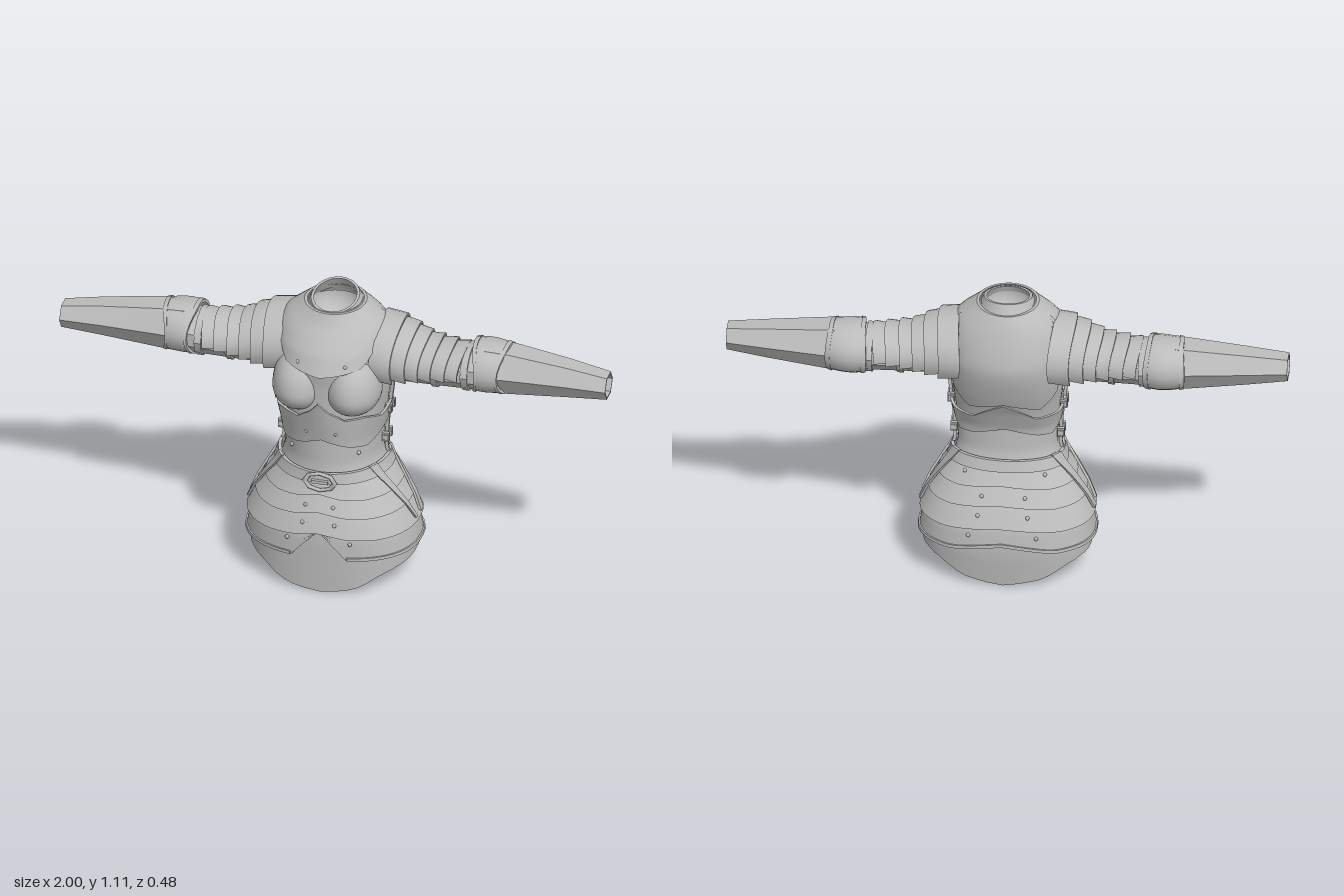
import * as THREE from 'three';
import { toCreasedNormals } from 'three/addons/utils/BufferGeometryUtils.js';

const PI = Math.PI;
const steel = new THREE.MeshStandardMaterial({ color: 0xbcbcbc, side: THREE.DoubleSide });
steel.name = 'steel grey';

// Piecewise linear lookup: rows are [key, ...values] with rising keys.
function look(rows, k) {
  let i = 0;
  while (i < rows.length - 2 && k > rows[i + 1][0]) i++;
  const a = rows[i], b = rows[i + 1];
  const f = Math.min(1, Math.max(0, (k - a[0]) / (b[0] - a[0])));
  return a.slice(1).map((v, j) => v + (b[j + 1] - v) * f);
}
const edge = (rows) => (t) => look(rows, t)[0];
const pw = (v, e) => Math.sign(v) * Math.abs(v) ** e;

// Torso sections: y, half width, front z, back z, roundness.
const TORSO = [
  [0, .305, .215, -.207, .85], [.145, .306, .221, -.224, .85], [.235, .294, .224, -.216, .85],
  [.31, .264, .211, -.189, .87], [.4, .216, .187, -.148, .9], [.45, .19, .182, -.13, .95],
  [.5, .177, .176, -.115, 1], [.6, .18, .178, -.112, 1], [.68, .19, .18, -.132, .95],
  [.75, .198, .18, -.16, .92], [.82, .202, .182, -.182, .92], [.88, .202, .19, -.193, .92],
  [.95, .198, .163, -.177, .95], [1, .185, .128, -.16, 1], [1.03, .16, .103, -.148, 1],
  [1.055, .125, .09, -.137, 1], [1.08, .09, .08, -.12, 1],
];
// Point on the torso at angle t (0 front, rising towards +x), height y, raised by d.
function torso(t, y, d) {
  const [rx, zf, zb, e] = look(TORSO, y), c = Math.cos(t), m = -.02;
  return [pw(Math.sin(t), e) * (rx + d), y, m + pw(c, e) * ((c > 0 ? zf - m : m - zb) + d)];
}

// Solid sheet: f(u, v, d) gives the surface raised by d, th is its thickness.
function slab(parent, name, nu, nv, f, th, { closed = false, flat = false } = {}) {
  const pos = [], idx = [], n = (nu + 1) * (nv + 1), at = (i, j) => j * (nu + 1) + i;
  for (const d of [th, 0])
    for (let j = 0; j <= nv; j++) for (let i = 0; i <= nu; i++) pos.push(...f(i / nu, j / nv, d));
  const quad = (a, b, c, d) => idx.push(a, b, c, a, c, d);
  for (let j = 0; j < nv; j++) for (let i = 0; i < nu; i++) {
    const q = [at(i, j), at(i + 1, j), at(i + 1, j + 1), at(i, j + 1)];
    quad(...q);
    quad(...q.map((k) => k + n).reverse());
  }
  const wall = (a, b) => quad(a, a + n, b + n, b);
  for (let i = 0; i < nu; i++) { wall(at(i, 0), at(i + 1, 0)); wall(at(i + 1, nv), at(i, nv)); }
  if (!closed) for (let j = 0; j < nv; j++) { wall(at(nu, j), at(nu, j + 1)); wall(at(0, j + 1), at(0, j)); }
  let g = new THREE.BufferGeometry();
  g.setAttribute('position', new THREE.Float32BufferAttribute(pos, 3));
  g.setIndex(idx);
  g = toCreasedNormals(g, flat ? .1 : .6);
  return add(parent, name, g);
}
function add(parent, name, geo, x = 0, y = 0, z = 0) {
  const m = new THREE.Mesh(geo, steel);
  m.name = name;
  m.position.set(x, y, z);
  parent.add(m);
  return m;
}

// Plate wrapped around the torso; lo and hi give its edges at angle |t|, raise its height.
function plate(parent, name, lo, hi, raise, th = .01, nv = 6) {
  return slab(parent, name, 48, nv, (u, v, d) => {
    const t = (u * 2 - 1) * PI, a = Math.abs(t), y = lo(a) + (hi(a) - lo(a)) * v;
    return torso(t, y, d + raise(a, v));
  }, th, { closed: true });
}

// Arm sections: x, centre y, centre z, half height, half depth.
const SLEEVE = [[.17, .89, -.03, .095, .115], [.36, .856, -.033, .067, .085], [.56, .864, -.04, .076, .088]];
const FOREARM = [[.55, .87, -.043, .082, .096], [.64, .869, -.043, .077, .086], [.85, .867, -.033, .056, .065], [1, .864, -.022, .039, .049]];
const SHOULDER = [[.17, .895, -.035, .122, .146], [.25, .885, -.033, .106, .124], [.34, .867, -.033, .078, .1], [.47, .858, -.035, .064, .088]];
function limb(rows, a, x, d) {
  const [y, z, ry, rz] = look(rows, x);
  return [x, y + Math.cos(a) * (ry + d), z + Math.sin(a) * (rz + d)];
}

function makeArm() {
  const arm = new THREE.Group();
  slab(arm, 'sleeve', 10, 6, (u, v, d) => limb(SLEEVE, u * 2 * PI, .17 + .39 * v, d), .006, { closed: true });
  slab(arm, 'forearmGuard', 6, 3, (u, v, d) => {
    const x = [.55, .64, .85, 1][Math.round(v * 3)], p = limb(FOREARM, PI / 2 + u * 2 * PI, x, d);
    const cy = look(FOREARM, x)[0];
    return [x, cy + (p[1] - cy) * 1.1, p[2]];
  }, .006, { closed: true, flat: true });
  // Overlapping shoulder plates
  const cuts = [.17, .235, .285, .33, .375, .425, .47];
  for (let i = 0; i < 6; i++) {
    const reach = 2.1 - i * .09;
    slab(arm, 'shoulderLame', 20, 2, (u, v, d) => {
      const a = (u * 2 - 1) * reach, x = cuts[i] + (cuts[i + 1] - cuts[i] + .012) * v - .015 * Math.sin(a) ** 2;
      return limb(SHOULDER, a, x, d + .001 + .015 * v);
    }, .008);
  }
  slab(arm, 'armholeRim', 24, 1, (u, v, d) => limb(SHOULDER, u * 2 * PI, .185 + .018 * v, d - .012), .014, { closed: true });
  for (const [x, w] of [[.365, .022], [.475, .025]])
    slab(arm, 'armBand', 12, 1, (u, v, d) => limb(SLEEVE, u * 2 * PI, x + w * v, d + .004), .009, { closed: true });
  // Elbow guard, narrow in front and bulging behind
  const cop = (u, v, d, lift) => {
    const a = u * 2 * PI, s = Math.sin(a), w = v * 2 - 1;
    const half = .064 - .024 * Math.max(0, s) ** 2 + (s < 0 ? .01 * s * s : 0);
    const bulge = (1 - w * w) * (s < 0 ? .002 + .014 * s * s : .002);
    return limb(FOREARM, a, .567 + half * w, d + lift + bulge);
  };
  slab(arm, 'elbowGuard', 20, 6, (u, v, d) => cop(u, v, d, .002), .008, { closed: true });
  for (const v0 of [0, .88])
    slab(arm, 'elbowRim', 20, 1, (u, v, d) => cop(u, v0 + .12 * v, d, .006), .008, { closed: true });
  return arm;
}

// Breast cup: round below, drawn up and back into the chest above.
function cupGeometry() {
  const g = new THREE.SphereGeometry(1, 32, 24), p = g.attributes.position;
  for (let i = 0; i < p.count; i++) {
    const y = p.getY(i);
    if (y > 0) p.setXYZ(i, p.getX(i), y * 1.55, p.getZ(i) - y * y * .1);
  }
  g.scale(.099, .094, .128);
  g.computeVertexNormals();
  return g;
}

export function createModel() {
  const model = new THREE.Group();
  model.name = 'armour';

  // Cuirass shell
  slab(model, 'cuirass', 48, 36, (u, v, d) => torso((u * 2 - 1) * PI, .38 + .695 * v, d - .006), .006, { closed: true });
  const cup = cupGeometry();
  for (const s of [-1, 1]) add(model, 'breastCup', cup, s * .098, .787, .094);

  // Gorget plate over the upper chest, reaching down over the back
  plate(model, 'gorget',
    edge([[0, .88], [.53, .897], [.72, .905], [1, .97], [1.3, 1.01], [1.85, 1.0], [2.1, .76], [2.5, .69], [PI, .72]]),
    () => 1.075, (a, v) => .004 + Math.max(0, .016 - a * .02) * (1 - v), .01, 14);
  // Neck collar, higher at the back, with a bowl-shaped lining
  slab(model, 'collar', 24, 3, (u, v, d) => {
    const t = (u * 2 - 1) * PI, c = Math.cos(t), r = .106 - .03 * v;
    const z = -.014 + c * (r + .012 + d), dip = .06 + .01 * Math.max(0, c) ** 4;
    return [Math.sin(t) * (r + d), 1.088 - .2 * z - dip * (1 - v), z];
  }, .01, { closed: true });
  const lining = new THREE.SphereGeometry(1, 24, 8, 0, PI * 2, PI / 2, PI / 2);
  add(model, 'neckLining', lining, 0, 1.05, -.02).scale.set(.105, .09, .1);

  // Waist plate with a point up the front and the back
  plate(model, 'waistPlate',
    edge([[0, .61], [.5, .578], [.9, .565], [1.3, .6], [1.57, .62], [1.8, .6], [2.1, .565], [2.5, .57], [PI, .6]]),
    edge([[0, .782], [.14, .735], [.4, .695], [.8, .695], [1.2, .672], [1.57, .7], [1.9, .66], [2.6, .655], [PI, .73]]),
    (a, v) => .002 + look([[0, .045], [.2, .018], [.5, .006], [1.8, .006], [2.2, .012], [PI, .02]], a)[0] * v, .01, 8);

  // Side seams with two clasps each
  for (const s of [-1, 1]) {
    slab(model, 'sideSeam', 1, 14, (u, v, d) => torso(s * PI / 2 + (u - .5) * .07, .48 + .29 * v, d + .005), .012);
    for (const y of [.67, .55]) {
      const x = s * (torso(PI / 2, y, .012)[0]);
      add(model, 'claspBar', new THREE.BoxGeometry(.022, .02, .066), x, y, -.015);
      for (const z of [-.036, .006])
        add(model, 'claspHook', new THREE.BoxGeometry(.026, .034, .014), x, y, z);
    }
  }

  // Skirt lames, flaring at the lower edge, with a notch in the lowest
  const peak = (y, h) => edge([[0, y + h], [.26, y + h * .3], [.6, y], [2.5, y], [PI, y + h * .7]]);
  const lames = [
    [peak(.375, .02), .445], [peak(.31, .02), .395], [peak(.232, .02), .33],
    [edge([[0, .255], [.131, .2], [.22, .2], [.262, .147], [2.6, .147], [PI, .175]]), .26],
  ];
  lames.forEach(([lo, hi], i) => plate(model, 'skirtLame', lo, () => hi,
    (a, v) => (i === 3 ? .004 : .014) * (1 - v) - .005, .01, 4));
  slab(model, 'skirtRim', 48, 1, (u, v, d) => {
    const t = .27 + u * (2 * PI - .54), a = Math.min(t, 2 * PI - t);
    return torso(t, lames[3][0](a) + .012 * v, d + .004);
  }, .01);
  // Hanging lower skirt, pointed front and back, closed inside at the waist
  plate(model, 'lowerSkirt',
    edge([[0, 0], [.25, .012], [.45, .03], [.7, .07], [1, .09], [1.57, .107], [2.1, .095], [2.4, .075], [2.7, .03], [PI, 0]]),
    () => .26, () => -.014, .01);
  const dome = new THREE.SphereGeometry(1, 32, 8, 0, PI * 2, 0, PI / 2);
  add(model, 'waistLining', dome, 0, .4, .02).scale.set(.2, .07, .155);

  // Belt, buckle and the straps over the hips
  plate(model, 'belt', () => .438, () => .478, () => .008, .012, 2);
  const buckle = add(model, 'buckle', new THREE.TorusGeometry(.05, .009, 6, 8), 0, .447, .205);
  buckle.scale.set(1.1, .68, 1);
  add(model, 'buckleBar', new THREE.BoxGeometry(.06, .012, .014), 0, .447, .205);
  const straps = [[[.105, .03], [.075, .018]], [[-.055, -.018], [-.08, -.045]]];
  for (const s of [-1, 1]) for (const [a, b] of straps)
    slab(model, 'hipStrap', 1, 12, (u, v, d) => {
      const y = .25 + .235 * v, [z0, z1] = [a, b].map(([top, low]) => low + (top - low) * v);
      const z = s > 0 ? z0 + (z1 - z0) * u : z1 + (z0 - z1) * u;
      const [, zf, zb, e] = look(TORSO, y), k = (z + .02) / (z > -.02 ? zf + .02 : -.02 - zb);
      const c = pw(k, 1 / e);
      return torso(s * Math.acos(Math.max(-1, Math.min(1, c))), y, d + .017);
    }, .01);

  // Rivets
  const ball = new THREE.SphereGeometry(.0075, 8, 6);
  const rivets = [[.38, .915, .018], [.26, .64, .014], [.75, .54, .002], [.16, .35, .012], [.16, .285, .012],
    [.32, .215, .01], [2.88, .35, .012], [2.88, .285, .012], [2.8, .21, .01], [2.45, .42, .01]];
  for (const s of [-1, 1]) for (const [t, y, d] of rivets) add(model, 'rivet', ball, ...torso(s * t, y, d));

  // Arms
  const left = makeArm(), right = makeArm();
  left.name = 'leftArm';
  right.name = 'rightArm';
  right.scale.x = -1;
  model.add(left, right);
  return model;
}
